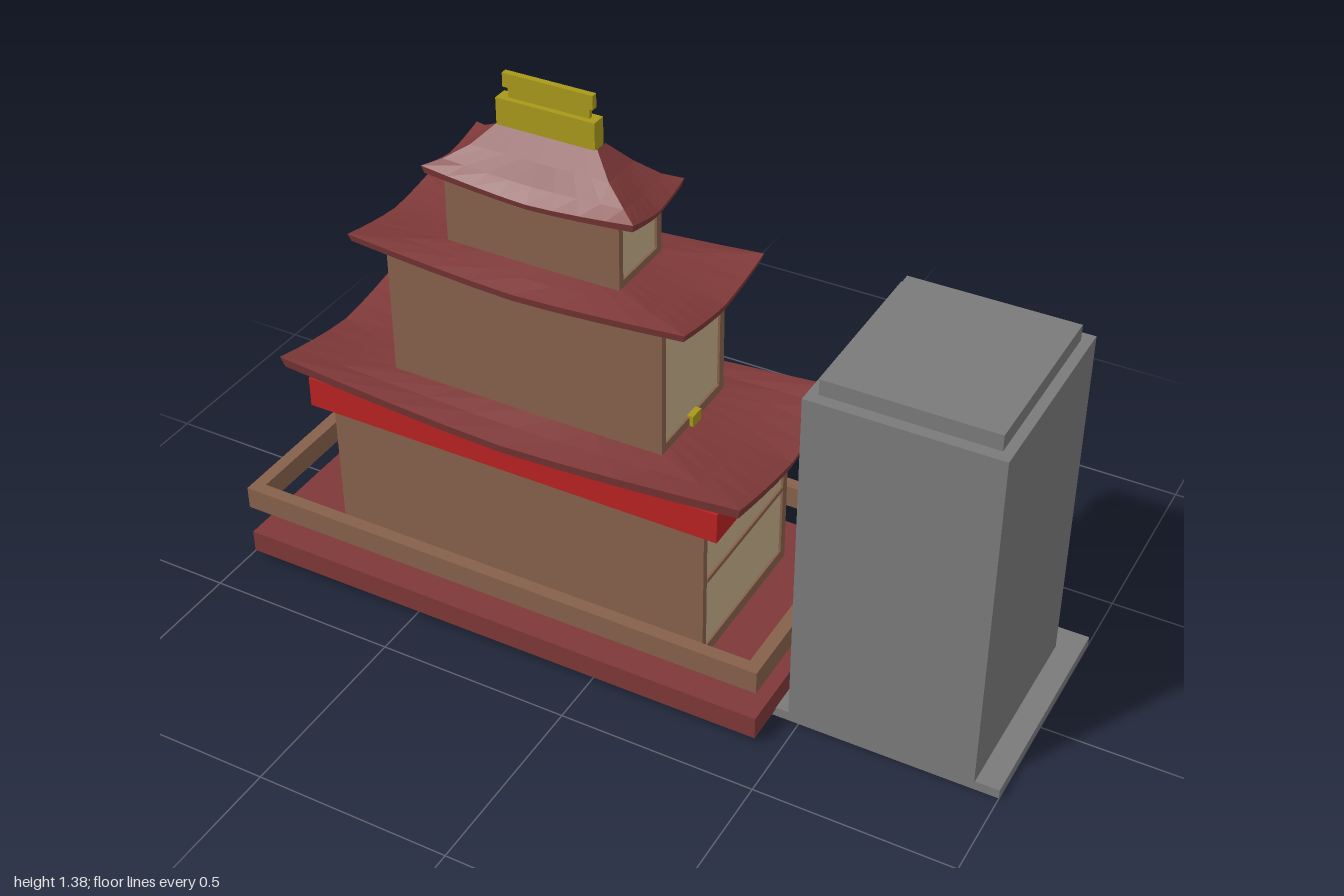
import * as THREE from 'three';

const mat = (name, color, side = THREE.FrontSide) => {
  const m = new THREE.MeshStandardMaterial({ color, side, flatShading: true });
  m.name = name;
  return m;
};

export function createModel() {
  const grey = mat('concrete grey', 0x7a7a7a);
  const maroon = mat('roof maroon', 0x7e3838);
  const red = mat('beam red', 0xb82222);
  const brown = mat('timber brown', 0x86604a);
  const cream = mat('paper cream', 0xc4ad8a);
  const gold = mat('ridge gold', 0xa8981a);
  const glass = mat('window blue', 0x8aa8c0);

  const model = new THREE.Group();
  const group = (name) => {
    const g = new THREE.Group();
    g.name = name;
    model.add(g);
    return g;
  };
  // Box given by its limits on each axis
  const box = (parent, name, material, x0, x1, y0, y1, z0, z1) => {
    const mesh = new THREE.Mesh(new THREE.BoxGeometry(x1 - x0, y1 - y0, z1 - z0), material);
    mesh.position.set((x0 + x1) / 2, (y0 + y1) / 2, (z0 + z1) / 2);
    mesh.name = name;
    parent.add(mesh);
    return mesh;
  };

  // Ground, platform and step
  const base = group('base');
  box(base, 'groundSlab', grey, -1, 1, 0, 0.025, -0.325, 0.26);
  box(base, 'platform', maroon, -0.985, 0.44, 0.02, 0.08, -0.315, 0.37);
  box(base, 'entranceStep', maroon, -0.5, -0.05, 0.026, 0.05, -0.37, -0.315);

  // Railing, open at the entrance
  const rail = group('railing');
  const r0 = 0.16, r1 = 0.22, t = 0.033;
  box(rail, 'frontRail', brown, -0.985, 0.44, r0, r1, 0.37 - t, 0.37);
  box(rail, 'rightRail', brown, -0.985, -0.985 + t, r0, r1, -0.315, 0.37 - t);
  box(rail, 'leftRail', brown, 0.44 - t, 0.44, r0, r1, -0.315, 0.37 - t);
  box(rail, 'backRailRight', brown, -0.985 + t, -0.415, r0, r1, -0.315, -0.315 + t);
  box(rail, 'backRailLeft', brown, -0.115, 0.44 - t, r0, r1, -0.315, -0.315 + t);
  for (const x of [-0.965, -0.78, -0.6, -0.425, -0.105, 0.06, 0.24, 0.42])
    box(rail, 'railPost', brown, x - 0.009, x + 0.009, 0.08, r0, -0.31, -0.288);

  // One storey: plain front, framed paper panels on the back and sides
  const cx = -0.27, cz = 0.03;
  function storey(name, hx, hz, y0, y1, panelBottom, panelTop, dividers) {
    const g = group(name);
    const x0 = cx - hx, x1 = cx + hx, z0 = cz - hz, z1 = cz + hz;
    const d = 0.012, w = 0.022;
    box(g, 'walls', brown, x0 + d, x1 - d, y0, y1, z0 + d, z1);
    const cuts = [x0 + w / 2, ...dividers, x1 - w / 2];
    for (const x of cuts) box(g, 'backColumn', brown, x - w / 2, x + w / 2, y0, y1, z0, z0 + w);
    for (let i = 0; i < cuts.length - 1; i++)
      box(g, 'backPanel', cream, cuts[i] + w / 2, cuts[i + 1] - w / 2, panelBottom, panelTop, z0 + 0.006, z0 + d);
    box(g, 'backSill', brown, x0, x1, y0, panelBottom, z0, z0 + d);
    box(g, 'backLintel', brown, x0, x1, panelTop, y1, z0, z0 + d);
    for (const s of [-1, 1]) {
      const strip = (n, m, a, b, ya, yb, za, zb) =>
        box(g, n, m, cx + Math.min(s * a, s * b), cx + Math.max(s * a, s * b), ya, yb, za, zb);
      strip('sidePanel', cream, hx - d, hx - 0.006, panelBottom, panelTop, z0 + w, z1 - w * 0.8);
      strip('sideSill', brown, hx - d, hx, y0, panelBottom, z0, z1);
      strip('sideLintel', brown, hx - d, hx, panelTop, y1, z0, z1);
      strip('frontCornerColumn', brown, hx - d, hx, y0, y1, z1 - w * 0.8, z1);
    }
    return g;
  }
  const lower = storey('lowerStorey', 0.51, 0.22, 0.08, 0.56, 0.11, 0.5, [-0.44, -0.1]);
  const middle = storey('middleStorey', 0.365, 0.152, 0.55, 0.94, 0.61, 0.9, [-0.4, -0.14]);
  storey('upperStorey', 0.2275, 0.098, 0.93, 1.15, 0.98, 1.11, [-0.38, -0.16]);
  for (const x of [cx - 0.51, cx + 0.502])
    box(lower, 'sideMidRail', brown, x, x + 0.008, 0.3, 0.312, cz - 0.2, cz + 0.2);

  // Bright beam under the lowest roof
  const beam = group('redBeam');
  box(beam, 'frontBeam', red, -0.83, 0.285, 0.47, 0.55, 0.245, 0.275);
  box(beam, 'backBeam', red, -0.83, 0.285, 0.47, 0.55, -0.22, -0.19);
  box(beam, 'rightBeam', red, -0.83, -0.79, 0.47, 0.55, -0.19, 0.245);
  box(beam, 'leftBeam', red, 0.245, 0.285, 0.47, 0.55, -0.19, 0.245);

  // Gold fittings
  for (const x of [-0.44, -0.1]) {
    box(lower, 'beamBracket', gold, x - 0.014, x + 0.014, 0.44, 0.49, -0.228, -0.19);
    box(lower, 'columnBracket', gold, x - 0.012, x + 0.012, 0.27, 0.31, -0.198, -0.18);
  }
  for (const x of [-0.4, -0.13])
    box(middle, 'baseBracket', gold, x - 0.016, x + 0.016, 0.56, 0.61, -0.14, -0.12);
  for (const x of [-0.645, 0.087])
    box(middle, 'sideBracket', gold, x, x + 0.018, 0.56, 0.615, 0.01, 0.05);

  // Swept roof lofted through rectangular rings [halfX, halfZ, y, corner lift]
  function roof(name, rings, underside) {
    const n = 8;
    const loops = rings.map(([hx, hz, y, lift]) => {
      const pts = [];
      const corners = [[-1, 1], [1, 1], [1, -1], [-1, -1]];
      corners.forEach((a, k) => {
        const b = corners[(k + 1) % 4];
        for (let i = 0; i < n; i++) {
          const f = i / n;
          const rise = lift * Math.pow(Math.abs(2 * f - 1), 1.4);
          pts.push([(a[0] + (b[0] - a[0]) * f) * hx, y + rise, (a[1] + (b[1] - a[1]) * f) * hz]);
        }
      });
      return pts;
    });
    const pos = [];
    for (let k = 0; k < loops.length - 1; k++) {
      for (let i = 0; i < 4 * n; i++) {
        const j = (i + 1) % (4 * n);
        const a = loops[k][i], b = loops[k][j], c = loops[k + 1][j], d = loops[k + 1][i];
        pos.push(...a, ...b, ...c, ...a, ...c, ...d);
      }
    }
    const geo = new THREE.BufferGeometry();
    geo.setAttribute('position', new THREE.Float32BufferAttribute(pos, 3));
    geo.computeVertexNormals();
    const first = 4 * n * 6;
    geo.addGroup(0, first, 0);
    geo.addGroup(first, pos.length / 3 - first, 1);
    const mesh = new THREE.Mesh(geo, [underside, maroon]);
    mesh.position.set(cx, 0, cz);
    mesh.name = name;
    model.add(mesh);
  }
  roof('lowerRoof', [
    [0.5, 0.215, 0.55, 0], [0.615, 0.26, 0.535, 0.04], [0.6225, 0.267, 0.56, 0.045],
    [0.49, 0.205, 0.572, 0.015], [0.355, 0.145, 0.588, 0],
  ], grey);
  roof('middleRoof', [
    [0.355, 0.145, 0.925, 0], [0.437, 0.187, 0.915, 0.03], [0.4425, 0.1925, 0.935, 0.03],
    [0.33, 0.14, 0.95, 0.01], [0.22, 0.09, 0.962, 0],
  ], maroon);
  roof('upperRoof', [
    [0.215, 0.088, 1.125, 0], [0.27, 0.113, 1.115, 0.02], [0.275, 0.1175, 1.13, 0.025],
    [0.235, 0.088, 1.16, 0.01], [0.18, 0.056, 1.205, 0], [0.13, 0.018, 1.255, 0],
  ], maroon);

  // Gold ridge ornament
  const ridge = group('ridgeOrnament');
  box(ridge, 'ridgeBase', gold, -0.4, -0.145, 1.25, 1.32, 0.012, 0.05);
  box(ridge, 'ridgeNeck', gold, -0.375, -0.165, 1.32, 1.345, 0.026, 0.036);
  box(ridge, 'ridgeCrest', gold, -0.387, -0.155, 1.345, 1.38, 0.023, 0.039);

  // Concrete tower: solid bands between rows of recessed openings
  const tower = group('tower');
  const X0 = 0.475, X1 = 0.94, Z0 = -0.255, Z1 = 0.265, in_ = 0.03;
  const rows = [[0.365, 0.49], [0.535, 0.66], [0.705, 0.83]];
  const bands = [[0.3, 0.365], [0.49, 0.535], [0.66, 0.705], [0.83, 0.93]];
  for (const [a, b] of bands) box(tower, 'wallBand', grey, X0, X1, a, b, Z0, Z1);
  for (const [a, b] of rows) {
    box(tower, 'wallCore', grey, X0 + in_, X1, a, b, Z0 + in_, Z1);
    box(tower, 'outerPier', grey, 0.87, X1, a, b, Z0, Z0 + in_);
    box(tower, 'middlePier', grey, 0.595, 0.73, a, b, Z0, Z0 + in_);
    box(tower, 'sidePier', grey, X0, X0 + in_, a, b, -0.02, Z1);
    box(tower, 'narrowWindow', glass, 0.73, 0.87, a, b, Z0 + in_ - 0.006, Z0 + in_);
    box(tower, 'cornerWindowBack', glass, X0 + in_ - 0.006, 0.595, a, b, Z0 + in_ - 0.006, Z0 + in_);
    box(tower, 'cornerWindowSide', glass, X0 + in_ - 0.006, X0 + in_, a, b, Z0 + in_, -0.02);
  }
  box(tower, 'groundCore', grey, X0, X1, 0.025, 0.3, Z0 + in_, Z1);
  box(tower, 'doorPierLeft', grey, 0.87, X1, 0.025, 0.3, Z0, Z0 + in_);
  box(tower, 'doorPierRight', grey, X0, 0.74, 0.025, 0.3, Z0, Z0 + in_);
  box(tower, 'door', maroon, 0.74, 0.87, 0.025, 0.3, Z0 + in_ - 0.006, Z0 + in_);
  box(tower, 'roofCap', grey, 0.5, 0.915, 0.93, 0.97, -0.225, 0.235);

  return model;
}
